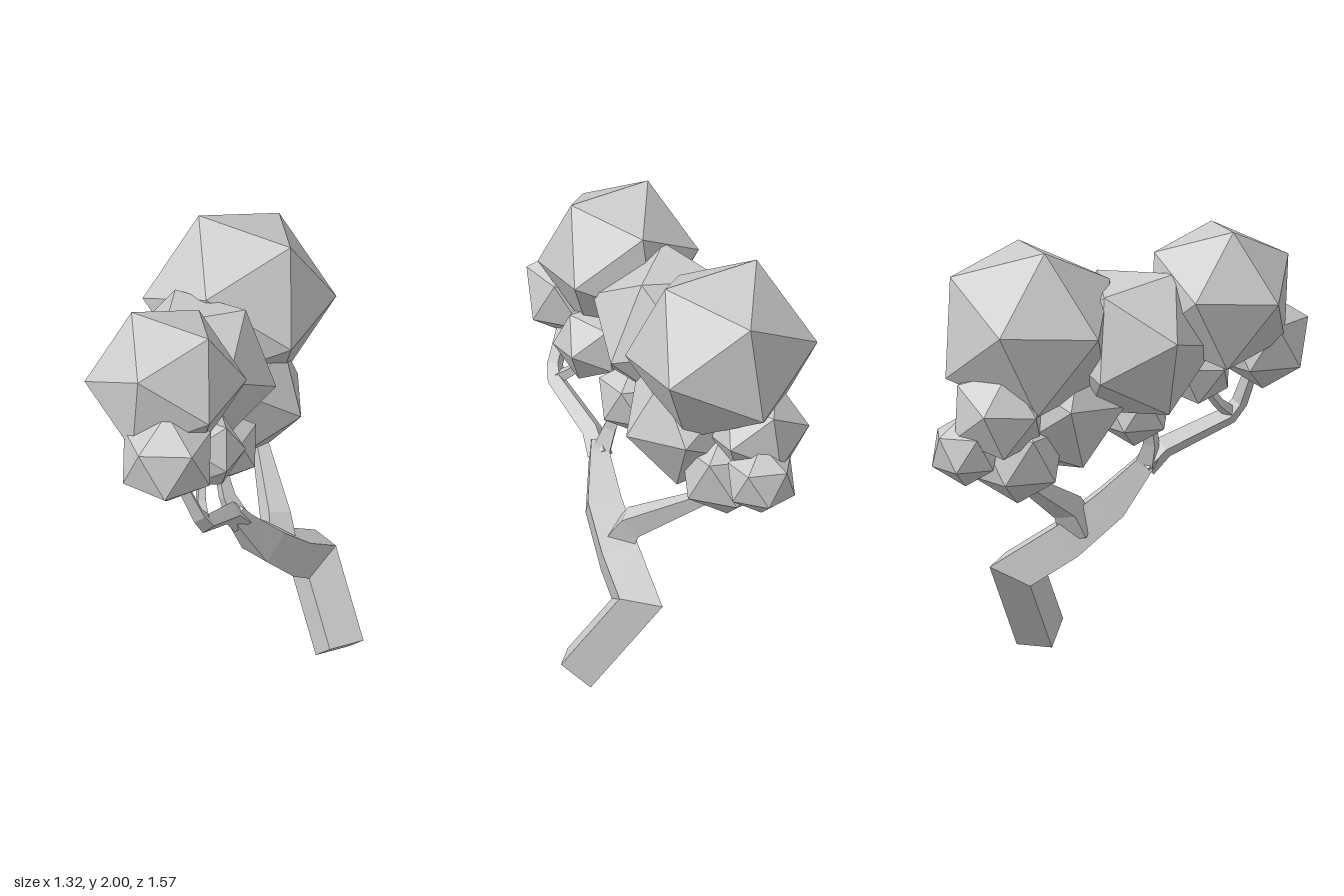
import * as THREE from 'three';

const V = (p) => new THREE.Vector3(p[0], p[1], p[2]);
const material = () => new THREE.MeshStandardMaterial({ color: 0xcccccc, flatShading: true });

// Square-section limb with mitred joints; points are [x, y, z, half width].
function limb(name, points) {
  const pts = points.map(V);
  const dirs = pts.slice(1).map((p, i) => p.clone().sub(pts[i]).normalize());
  const side = new THREE.Vector3(1, 0, -0.22);
  const u = side.addScaledVector(dirs[0], -side.dot(dirs[0])).normalize();
  const v = dirs[0].clone().cross(u);
  let offsets = [[1, 1], [-1, 1], [-1, -1], [1, -1]].map(([a, b]) =>
    u.clone().multiplyScalar(a).addScaledVector(v, b));
  const pos = [], index = [];
  pts.forEach((p, i) => {
    const before = dirs[Math.max(i - 1, 0)];
    const after = dirs[Math.min(i, dirs.length - 1)];
    const n = before.clone().add(after).normalize();
    offsets = offsets.map((o) => {
      const m = o.clone().addScaledVector(before, -o.dot(n) / before.dot(n));
      const q = p.clone().addScaledVector(m, points[i][3]);
      pos.push(q.x, q.y, q.z);
      return m.addScaledVector(after, -m.dot(after));
    });
    if (i === 0) return;
    for (let k = 0; k < 4; k++) {
      const a = (i - 1) * 4 + k, b = (i - 1) * 4 + ((k + 1) % 4);
      index.push(a, b, b + 4, a, b + 4, a + 4);
    }
  });
  const e = (pts.length - 1) * 4;
  index.push(0, 2, 1, 0, 3, 2, e, e + 1, e + 2, e, e + 2, e + 3);
  const g = new THREE.BufferGeometry();
  g.setAttribute('position', new THREE.Float32BufferAttribute(pos, 3));
  g.setIndex(index);
  g.computeVertexNormals();
  const mesh = new THREE.Mesh(g, material());
  mesh.name = name;
  return mesh;
}

// Icosahedral leaf clump; a and b are directions of two neighbouring corners.
function clump(name, centre, radius, a = [0, 1, 0], b = [0.894, 0.447, 0]) {
  const A = V(a).normalize(), B = V(b).normalize();
  const y = A.clone().add(B).normalize();
  const x = B.clone().sub(A).normalize();
  const g = new THREE.IcosahedronGeometry(radius, 0);
  g.applyMatrix4(new THREE.Matrix4().makeBasis(x, y, x.clone().cross(y)));
  const mesh = new THREE.Mesh(g, material());
  mesh.position.copy(V(centre));
  mesh.name = name;
  return mesh;
}

export function createModel() {
  const tree = new THREE.Group();
  tree.name = 'tree';

  // Bent trunk and its branches
  const wood = new THREE.Group();
  wood.name = 'wood';
  wood.add(
    limb('trunk', [
      [0.54, 0.055, 0.175, 0.084], [0.485, 0.4, -0.08, 0.084], [0.33, 0.525, 0.07, 0.083],
      [0.18, 0.69, 0.21, 0.075], [0.05, 0.87, 0.285, 0.042], [0.02, 0.92, 0.3, 0.035],
    ]),
    limb('frontBranch', [
      [0.05, 0.86, 0.28, 0.042], [-0.01, 0.94, 0.34, 0.036],
      [-0.19, 1.06, 0.59, 0.03], [-0.23, 1.12, 0.615, 0.026], [-0.31, 1.3, 0.6, 0.022],
    ]),
    limb('frontTwig', [[-0.2, 1.08, 0.58, 0.022], [-0.19, 1.13, 0.51, 0.018], [-0.16, 1.24, 0.42, 0.016]]),
    limb('middleBranch', [[0.04, 0.88, 0.28, 0.04], [0, 0.98, 0.255, 0.028], [-0.02, 1.12, 0.2, 0.02]]),
    limb('backBranch', [
      [0.28, 0.58, 0.09, 0.065], [0.288, 0.69, 0.02, 0.052], [0.31, 0.92, -0.38, 0.022],
    ]),
  );

  // Leaf clumps: some tilted alike, the small ones mostly upright
  const leaves = new THREE.Group();
  leaves.name = 'leaves';
  const tilt = [[-0.37, 0.9, -0.24], [0.42, 0.79, 0.45]];
  leaves.add(
    clump('frontCrown', [-0.305, 1.675, 0.343], 0.362, ...tilt),
    clump('backCrown', [0.232, 1.598, -0.378], 0.432, ...tilt),
    clump('middleCrown', [-0.075, 1.5, 0], 0.368, [0.235, 0.305, 0.045], [0.33, -0.06, 0.14]),
    clump('lowerCrown', [0.19, 1.215, -0.21], 0.31, [0.447, -0.894, 0], [-0.25, -0.57, 0.78]),
    clump('frontClump', [-0.368, 1.432, 0.592], 0.226),
    clump('innerClump', [-0.14, 1.32, 0.39], 0.185, ...tilt),
    clump('middleClump', [0.007, 1.167, 0.13], 0.18),
    clump('lowerBackClump', [0.26, 1.03, -0.417], 0.226),
    clump('sideBackClump', [0.39, 1.077, -0.637], 0.167),
    clump('upperBackClump', [0.26, 1.25, -0.567], 0.23, ...tilt),
  );

  tree.add(wood, leaves);
  return tree;
}
